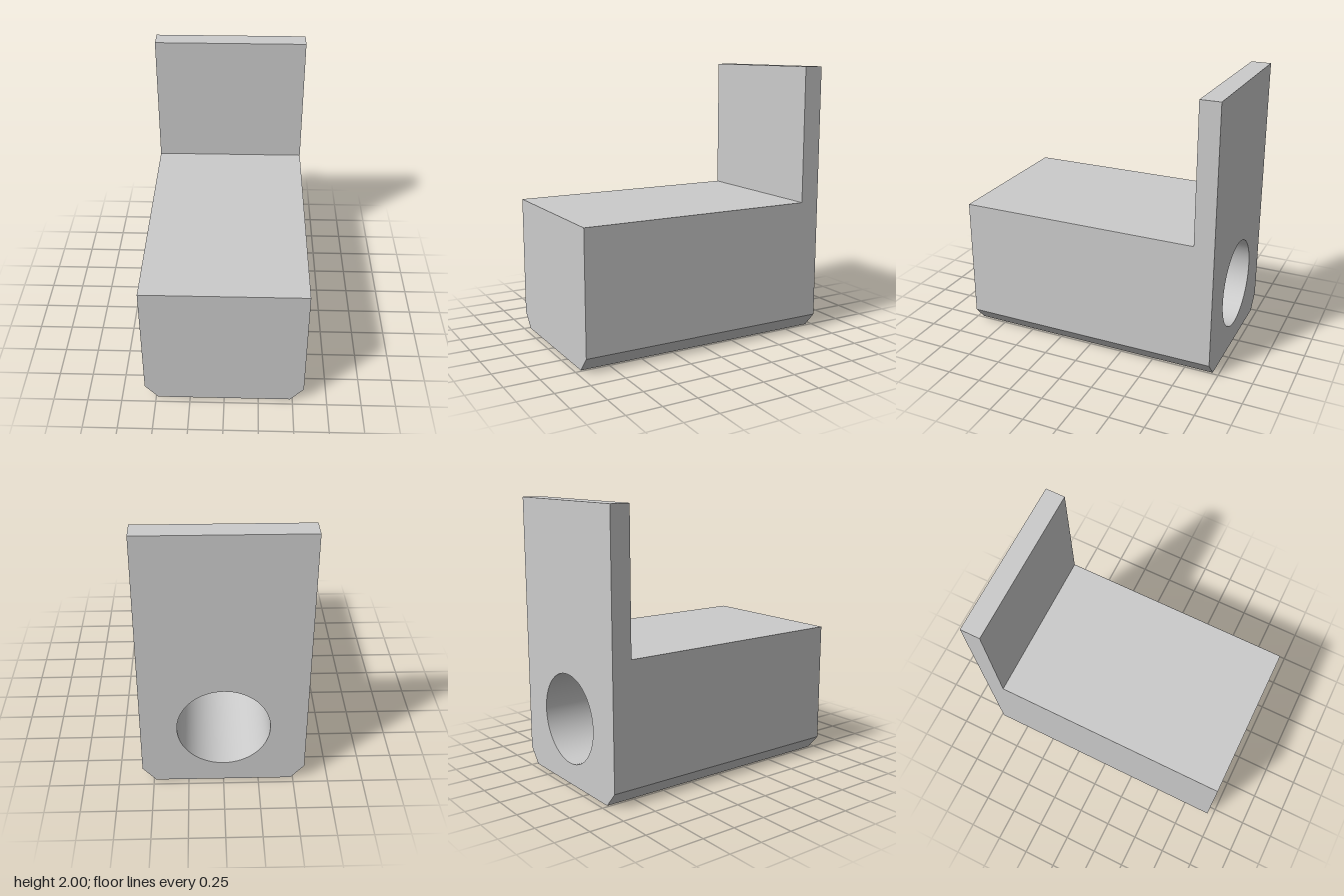
import * as THREE from 'three';

const W = 0.58, BACK = -0.955, STEP = -0.81, FRONT = 0.955;
const SEAT = 1, TOP = 2, BEVEL_X = 0.485, BEVEL_Y = 0.11;
const BORE_R = 0.325, BORE_Y = 0.48, BORE_DEPTH = 1.7, SEGMENTS = 64;

// Counter-clockwise outline with bevelled lower corners
function outline(height) {
  return [[W, height], [-W, height], [-W, BEVEL_Y], [-BEVEL_X, 0], [BEVEL_X, 0], [W, BEVEL_Y]]
    .map(([x, y]) => new THREE.Vector2(x, y));
}

// Flat walls that follow an outline between two depths
function walls(points, z0, z1) {
  const pos = [];
  points.forEach((p, i) => {
    const q = points[(i + 1) % points.length];
    pos.push(p.x, p.y, z0, q.x, q.y, z0, q.x, q.y, z1);
    pos.push(p.x, p.y, z0, q.x, q.y, z1, p.x, p.y, z1);
  });
  const geometry = new THREE.BufferGeometry();
  geometry.setAttribute('position', new THREE.Float32BufferAttribute(pos, 3));
  geometry.computeVertexNormals();
  return geometry;
}

export function createModel() {
  const group = new THREE.Group();
  const material = new THREE.MeshStandardMaterial({ color: 0xcccccc });
  const add = (name, geometry) => {
    const mesh = new THREE.Mesh(geometry, material);
    mesh.name = name;
    group.add(mesh);
  };

  // Long block
  const low = outline(SEAT), tall = outline(TOP);
  add('blockWalls', walls(low, STEP, FRONT));
  add('blockFront', new THREE.ShapeGeometry(new THREE.Shape(low)).translate(0, 0, FRONT));

  // Upright back plate
  add('plateWalls', walls(tall, BACK, STEP));
  add('plateFront', new THREE.PlaneGeometry(2 * W, TOP - SEAT).translate(0, (TOP + SEAT) / 2, STEP));

  // Rear face with the round opening, turned to face backwards
  const rear = new THREE.Shape(tall);
  rear.holes.push(new THREE.Path().absarc(0, BORE_Y, BORE_R, 0, Math.PI * 2, true));
  add('rearFace', new THREE.ShapeGeometry(rear, SEGMENTS / 2).rotateY(Math.PI).translate(0, 0, BACK));

  // Blind bore: inward-facing wall and its floor
  const boreLine = [new THREE.Vector2(BORE_R, BORE_DEPTH), new THREE.Vector2(BORE_R, 0)];
  add('boreWall', new THREE.LatheGeometry(boreLine, SEGMENTS).rotateX(Math.PI / 2).translate(0, BORE_Y, BACK));
  add('boreFloor', new THREE.CircleGeometry(BORE_R, SEGMENTS).rotateY(Math.PI).translate(0, BORE_Y, BACK + BORE_DEPTH));

  return group;
}
